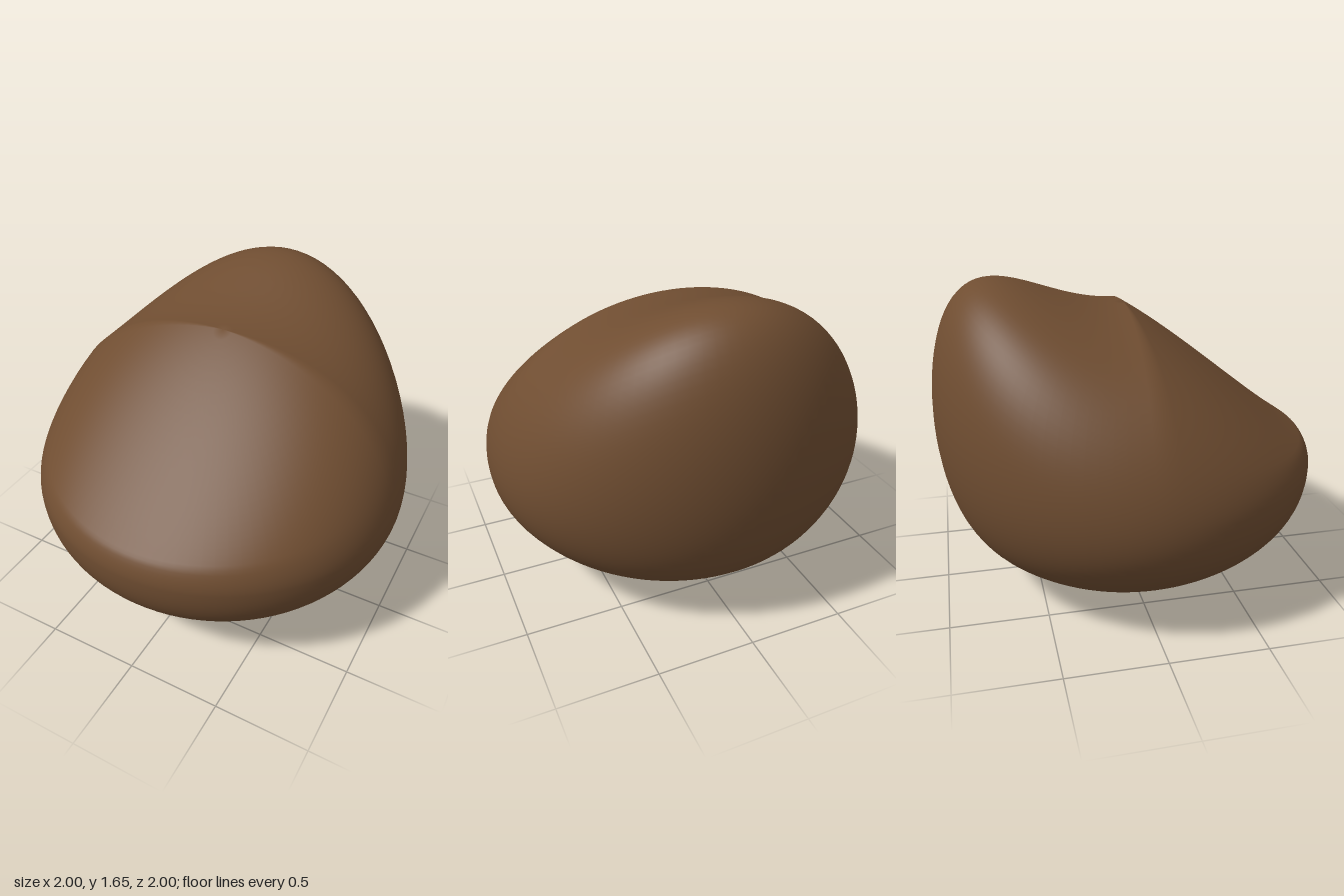
import * as THREE from 'three';
import { mergeVertices } from 'three/addons/utils/BufferGeometryUtils.js';

// Height of the cushion surface for a point (x, n, z) on the unit sphere
function cushionHeight(x, n, z) {
  const front = Math.max(0, z), back = Math.max(0, -z);
  const r = Math.hypot(x, z);
  // Squashed ball, its upper front half pressed into a sloping seat
  let y = 0.75 + 0.75 * n * (n > 0 ? 1 - 0.8 * front : 1);
  // Backrest: the rear swells upward, more towards the top
  y += back * back * Math.pow(Math.max(0, (n + 0.6) / 1.6), 1.5);
  // The sides and the front sag a little around the widest line
  const rim = 1 - front * front * Math.min(1, 3.5 * Math.max(0, n));
  y -= 0.075 * Math.pow(r, 6) * (1 - back * back) * rim;
  return y;
}

export function createModel() {
  const group = new THREE.Group();
  group.name = 'beanBag';
  const brown = new THREE.MeshStandardMaterial({ color: 0x6f4d31 });
  brown.name = 'brown fabric';

  // Ball reshaped by the height rule, welded so the shading runs smoothly
  let geometry = new THREE.SphereGeometry(1, 96, 64);
  const p = geometry.attributes.position;
  for (let i = 0; i < p.count; i++) {
    p.setY(i, cushionHeight(p.getX(i), p.getY(i), p.getZ(i)));
  }
  geometry.deleteAttribute('normal');
  geometry.deleteAttribute('uv');
  geometry = mergeVertices(geometry, 1e-5);
  geometry.computeVertexNormals();

  const cushion = new THREE.Mesh(geometry, brown);
  cushion.name = 'cushion';
  group.add(cushion);
  return group;
}
